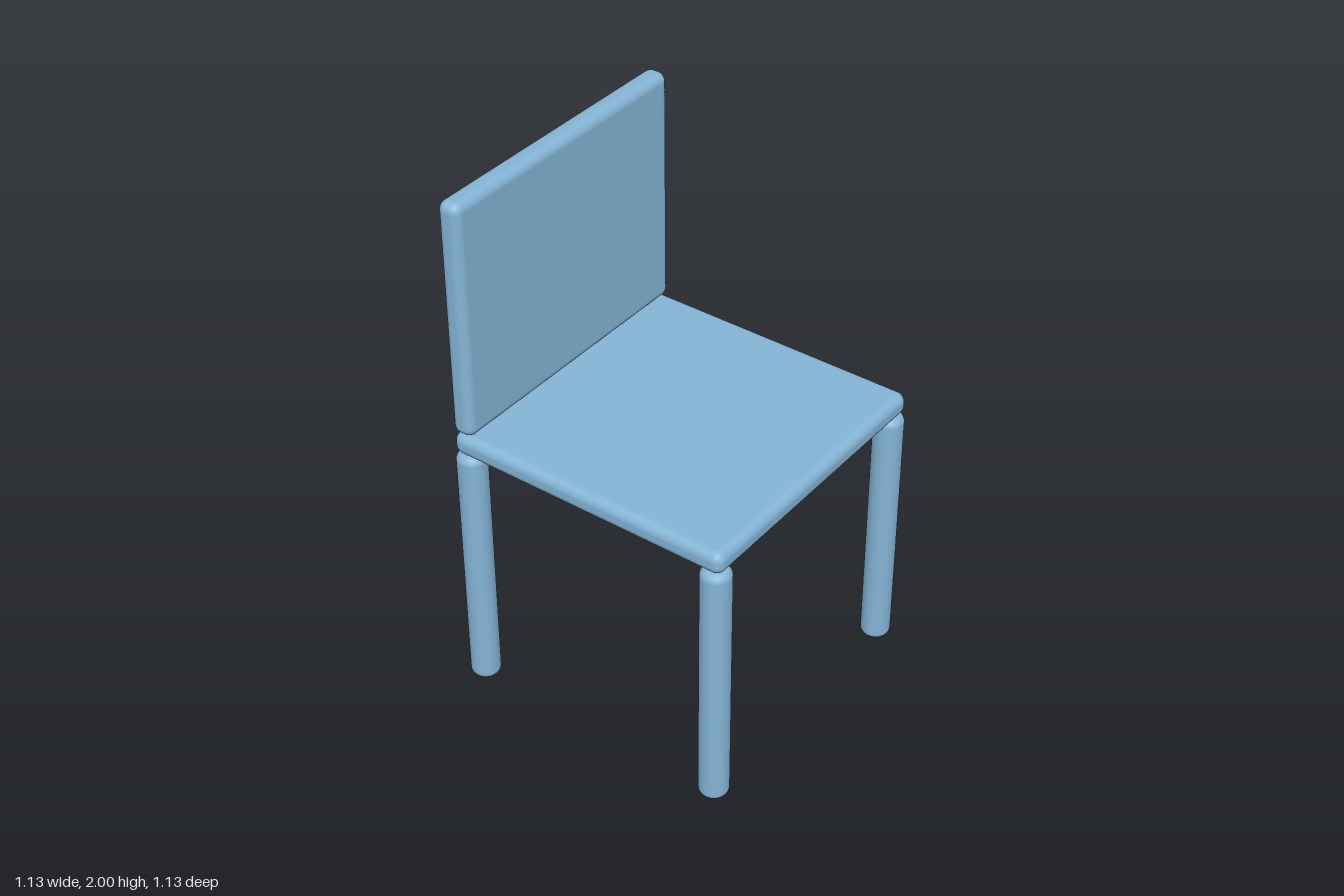
import * as THREE from 'three';
import { RoundedBoxGeometry } from 'three/addons/geometries/RoundedBoxGeometry.js';

export function createModel() {
  const model = new THREE.Group();
  model.name = 'chair';
  const paint = new THREE.MeshStandardMaterial({ color: 0x85b5d6 });
  paint.name = 'soft blue';

  const add = (name, geometry, x, y, z) => {
    const mesh = new THREE.Mesh(geometry, paint);
    mesh.name = name;
    mesh.position.set(x, y, z);
    model.add(mesh);
  };

  // Softly rounded seat and backrest slabs
  add('seat', new RoundedBoxGeometry(1.11, 0.086, 1.11, 6, 0.035), 0, 1.047, 0);
  add('backrest', new RoundedBoxGeometry(1.11, 0.91, 0.086, 6, 0.035), 0, 1.545, -0.512);

  // Round leg with softened rims at both ends
  const radius = 0.055, height = 1.004, bevel = 0.03, steps = 6;
  const profile = [new THREE.Vector2(0, 0)];
  for (const [centreY, start] of [[bevel, -Math.PI / 2], [height - bevel, 0]]) {
    for (let i = 0; i <= steps; i++) {
      const a = start + (i / steps) * Math.PI / 2;
      profile.push(new THREE.Vector2(radius - bevel + bevel * Math.cos(a), centreY + bevel * Math.sin(a)));
    }
  }
  profile.push(new THREE.Vector2(0, height));
  const leg = new THREE.LatheGeometry(profile, 32);

  for (const [end, z] of [['front', 0.51], ['back', -0.51]]) {
    add(end + 'LeftLeg', leg, 0.51, 0, z);
    add(end + 'RightLeg', leg, -0.51, 0, z);
  }
  return model;
}
